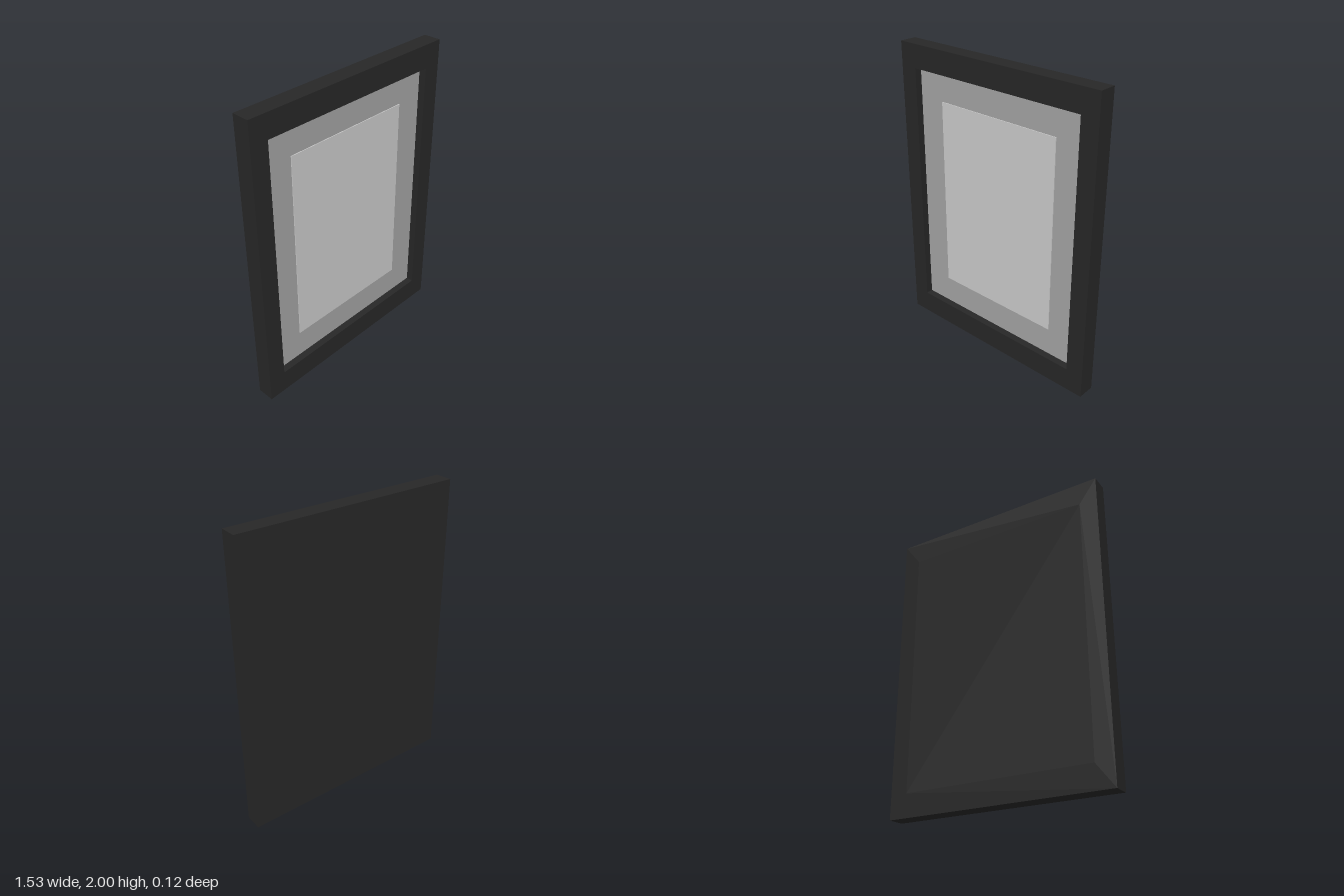
import * as THREE from 'three';

const W = 1.53, H = 2, D = 0.116;          // outer frame
const OPEN_W = 1.29, OPEN_H = 1.69;        // frame opening
const MAT_Z = 0.01;                        // front of the recessed mat

function box(name, w, h, zBack, zFront, color) {
  const mesh = new THREE.Mesh(
    new THREE.BoxGeometry(w, h, zFront - zBack),
    new THREE.MeshStandardMaterial({ color })
  );
  mesh.name = name;
  mesh.position.set(0, H / 2, (zBack + zFront) / 2);
  return mesh;
}

function rectangle(path, w, h) {
  path.moveTo(-w / 2, -h / 2);
  path.lineTo(w / 2, -h / 2);
  path.lineTo(w / 2, h / 2);
  path.lineTo(-w / 2, h / 2);
  path.closePath();
  return path;
}

export function createModel() {
  const group = new THREE.Group();
  group.name = 'pictureFrame';

  // Square-edged border around the opening
  const outline = rectangle(new THREE.Shape(), W, H);
  outline.holes.push(rectangle(new THREE.Path(), OPEN_W, OPEN_H));
  const border = new THREE.Mesh(
    new THREE.ExtrudeGeometry(outline, { depth: D, bevelEnabled: false }),
    new THREE.MeshStandardMaterial({ color: 0x272727 })
  );
  border.name = 'frame';
  border.position.set(0, H / 2, -D / 2);
  group.add(border);

  // Closed back, recessed mat, and the picture lying on it
  group.add(box('backPanel', OPEN_W, OPEN_H, -D / 2, -0.01, 0x272727));
  group.add(box('mat', OPEN_W, OPEN_H, -0.01, MAT_Z, 0xa4a4a4));
  group.add(box('picture', 0.91, 1.31, MAT_Z, MAT_Z + 0.005, 0xcccccc));

  return group;
}
